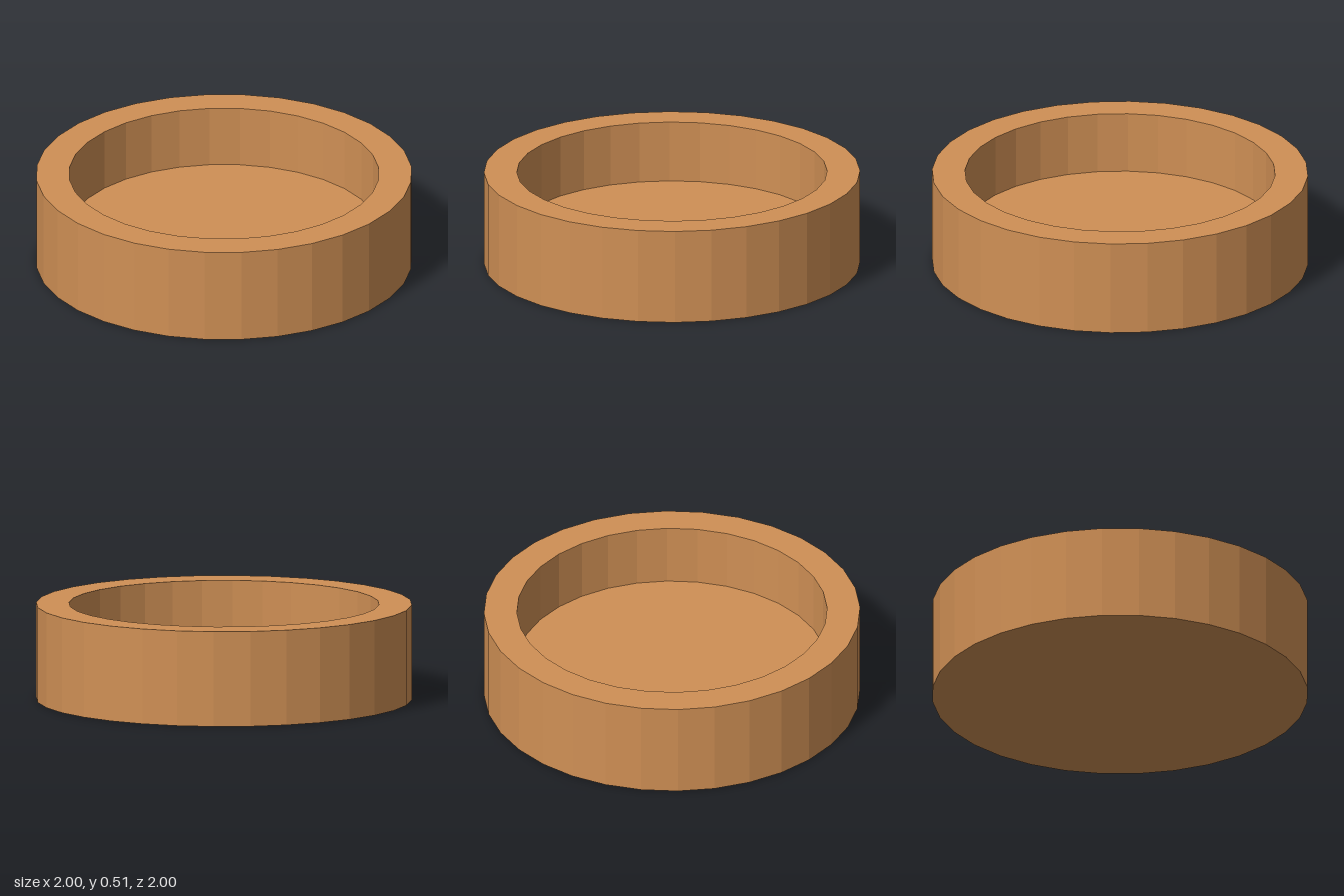
import * as THREE from 'three';

export function createModel() {
  const group = new THREE.Group();
  group.name = 'roundTray';

  const sides = 32;
  const outerRadius = 1;
  const innerRadius = 0.825;
  const height = 0.51;
  const floorHeight = 0.18;

  // Closed cross-section: underside, outer wall, rim, inner wall, recessed floor
  const profile = [
    [0, 0],
    [outerRadius, 0],
    [outerRadius, height],
    [innerRadius, height],
    [innerRadius, floorHeight],
    [0, floorHeight],
  ].map(([r, y]) => new THREE.Vector2(r, y));

  const material = new THREE.MeshStandardMaterial({ color: 0xd09055, flatShading: true });
  const dish = new THREE.Mesh(new THREE.LatheGeometry(profile, sides), material);
  dish.name = 'dish';
  group.add(dish);

  return group;
}
